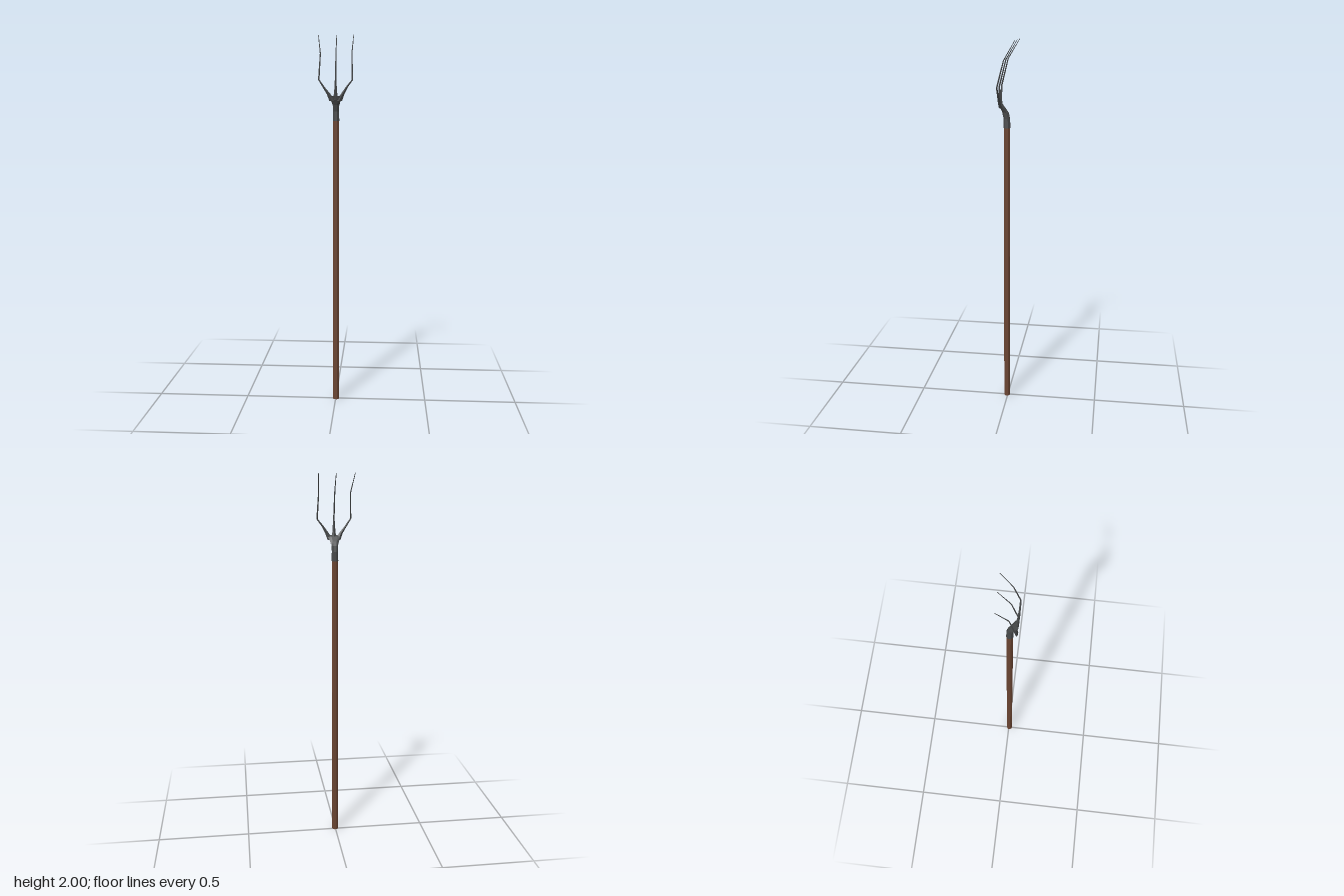
import * as THREE from 'three';

// Skin a run of horizontal-ish rings; each section is [x, y, z, radiusX, radiusZ, tilt]
function loft(sections, sides, turn = 0) {
  const pos = [], index = [];
  for (const [x, y, z, rx, rz, tilt = 0] of sections) {
    for (let i = 0; i < sides; i++) {
      const a = turn + (i / sides) * Math.PI * 2;
      const dz = Math.cos(a) * rz;
      pos.push(x + Math.sin(a) * rx, y + dz * tilt, z + dz);
    }
  }
  const last = sections.length - 1;
  for (let s = 0; s < last; s++) {
    for (let i = 0; i < sides; i++) {
      const j = (i + 1) % sides;
      const a = s * sides + i, b = s * sides + j;
      index.push(a, b, b + sides, a, b + sides, a + sides);
    }
  }
  // End caps
  for (let i = 1; i < sides - 1; i++) {
    index.push(0, i + 1, i);
    index.push(last * sides, last * sides + i, last * sides + i + 1);
  }
  const geo = new THREE.BufferGeometry();
  geo.setAttribute('position', new THREE.Float32BufferAttribute(pos, 3));
  geo.setIndex(index);
  const flat = geo.toNonIndexed();
  flat.computeVertexNormals();
  return flat;
}

export function createModel() {
  const group = new THREE.Group();
  group.name = 'pitchfork';
  const wood = new THREE.MeshStandardMaterial({ color: 0x6b4532 });
  wood.name = 'wood';
  const iron = new THREE.MeshStandardMaterial({ color: 0x47494a });
  iron.name = 'iron';

  const add = (name, geo, mat) => {
    const mesh = new THREE.Mesh(geo, mat);
    mesh.name = name;
    group.add(mesh);
  };
  const cx = 0.002, cz = 0.004;

  // Long wooden pole
  add('handle', loft([
    [cx, 0, cz, 0.017, 0.017],
    [cx, 1.57, cz, 0.017, 0.017],
  ], 8, Math.PI / 8), wood);

  // Iron socket, bending forward and flaring into a flat shoulder
  add('socket', loft([
    [cx, 1.55, cz, 0.0185, 0.0185],
    [cx, 1.6, cz + 0.001, 0.0165, 0.0175],
    [cx, 1.632, 0.012, 0.018, 0.018, 0.15],
    [cx, 1.657, 0.026, 0.027, 0.016, 0.4],
    [cx, 1.678, 0.039, 0.037, 0.007, 0.6],
  ], 8, Math.PI / 8), iron);

  // Middle tine
  add('middleTine', loft([
    [cx, 1.66, 0.037, 0.014, 0.008],
    [cx, 1.7, 0.042, 0.008, 0.005],
    [cx, 1.765, 0.044, 0.004, 0.004],
    [cx, 1.9, 0.01, 0.003, 0.003],
    [cx, 2, -0.049, 0.0015, 0.0015],
  ], 4), iron);

  // Outer tines: spread, turn upward at the bend, then sweep back
  const outer = [
    ['leftTine', 1, 0.09, 0.085, 0.092],
    ['rightTine', -1, 0.086, 0.08, 0.095],
  ];
  for (const [name, side, bend, mid, tip] of outer) {
    add(name, loft([
      [side * 0.019 + cx, 1.656, 0.036, 0.015, 0.008],
      [side * 0.036 + cx, 1.69, 0.041, 0.01, 0.006],
      [side * 0.06, 1.726, 0.043, 0.006, 0.0045],
      [side * bend, 1.765, 0.044, 0.004, 0.004],
      [side * mid, 1.9, 0.01, 0.003, 0.003],
      [side * tip, 2, -0.049, 0.0015, 0.0015],
    ], 4), iron);
  }
  return group;
}
